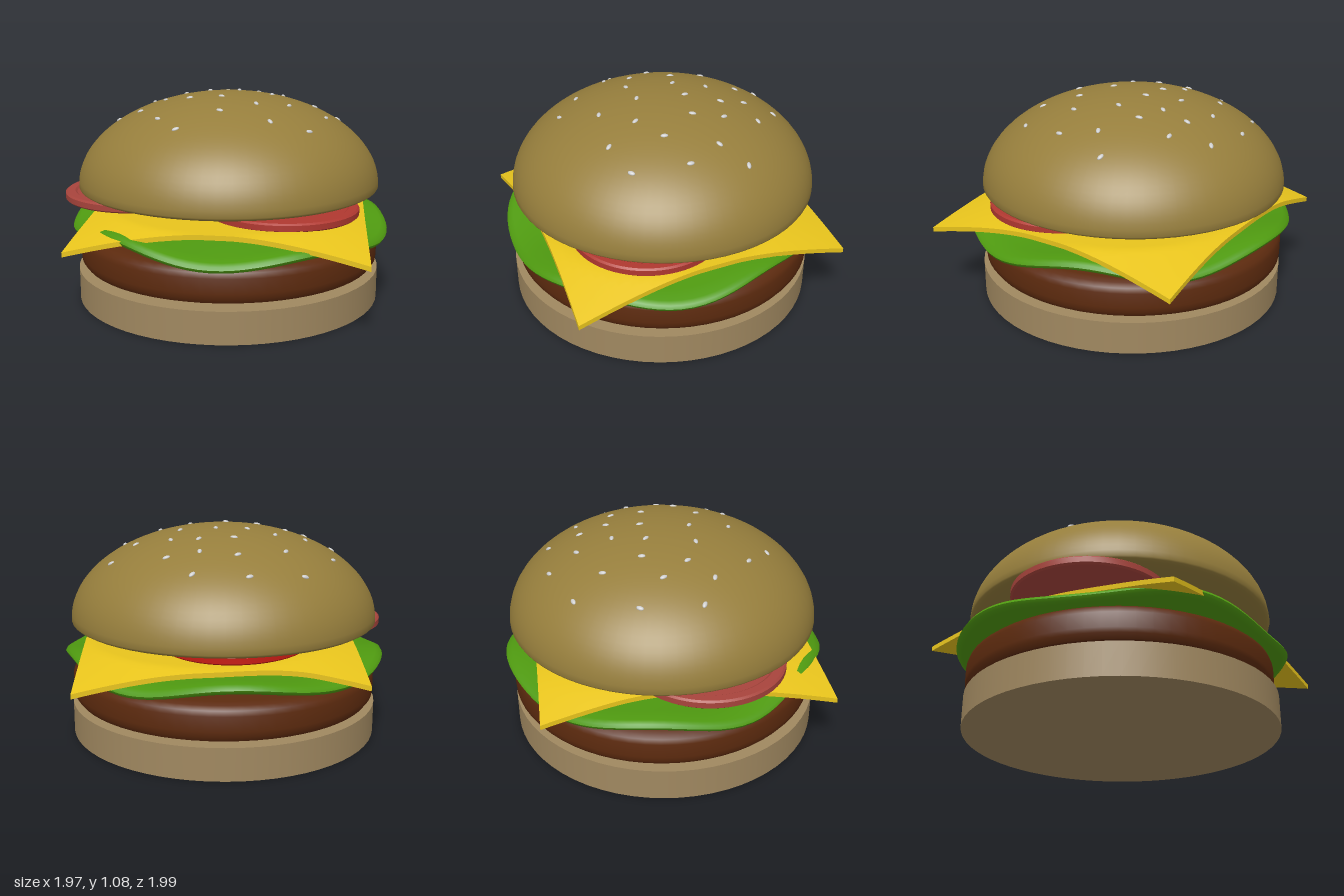
import * as THREE from 'three';
import { mergeVertices, toCreasedNormals } from 'three/addons/utils/BufferGeometryUtils.js';

const SIDES = 64;
const CZ = -0.055; // the round layers share this centre in z

function addMesh(parent, name, geometry, color) {
  const mesh = new THREE.Mesh(geometry, new THREE.MeshStandardMaterial({ color }));
  mesh.name = name;
  parent.add(mesh);
  return mesh;
}

// Solid of revolution; profile runs from the bottom centre outward and up to the top centre
function turned(profile, crease = 0.7) {
  const points = profile.map(([r, y]) => new THREE.Vector2(r, y));
  return toCreasedNormals(new THREE.LatheGeometry(points, SIDES), crease);
}

// Moves every vertex by a rule, then welds the surface and smooths it
function reshape(geometry, rule) {
  const pos = geometry.attributes.position;
  const v = new THREE.Vector3();
  for (let i = 0; i < pos.count; i++) {
    rule(v.fromBufferAttribute(pos, i));
    pos.setXYZ(i, v.x, v.y, v.z);
  }
  geometry.deleteAttribute('uv');
  geometry.deleteAttribute('normal');
  return toCreasedNormals(mergeVertices(geometry, 1e-4), 0.8);
}

// Lettuce: a thick disc whose rim ripples up and down
function lettuceGeometry() {
  const profile = [];
  const rings = 10;
  for (let i = 0; i <= rings; i++) profile.push(new THREE.Vector2(0.96 * i / rings, -0.024));
  profile.push(new THREE.Vector2(0.99, -0.015), new THREE.Vector2(1, 0), new THREE.Vector2(0.99, 0.015));
  for (let i = rings; i >= 0; i--) profile.push(new THREE.Vector2(0.96 * i / rings, 0.024));
  return reshape(new THREE.LatheGeometry(profile, 96), (v) => {
    const a = Math.atan2(v.z, v.x);
    const r = Math.hypot(v.x, v.z);
    const radius = 0.83 + 0.025 * Math.cos(2 * (a - 1.75)) + 0.008 * Math.sin(7 * a);
    v.y += 0.41 - r * r * (0.03 * Math.cos(5 * (a - 1.26)) + 0.012 * Math.sin(a) + 0.008 * Math.cos(3 * a));
    v.x *= radius;
    v.z *= radius;
  });
}

// Cheese: a square slice laid diagonally, with corners that droop past the filling
function cheeseGeometry() {
  const corners = [[-0.99, -0.21], [0.21, -1.0], [0.98, 0.14], [-0.17, 0.99]];
  return reshape(new THREE.BoxGeometry(1, 0.024, 1, 32, 1, 32), (v) => {
    const s = v.x + 0.5;
    const t = v.z + 0.5;
    const weights = [(1 - s) * (1 - t), s * (1 - t), s * t, (1 - s) * t];
    // edges pinch in slightly between the corners
    const pinch = 1 - 0.035 * Math.sin(Math.PI * s) * Math.pow(2 * t - 1, 2)
      - 0.035 * Math.sin(Math.PI * t) * Math.pow(2 * s - 1, 2);
    v.x = pinch * corners.reduce((sum, c, i) => sum + c[0] * weights[i], 0);
    v.z = pinch * corners.reduce((sum, c, i) => sum + c[1] * weights[i], 0);
    const r = Math.hypot(v.x, v.z);
    const back = THREE.MathUtils.smoothstep(-v.z, 0.35, 0.8);
    const droop = Math.max(0, r - 0.68);
    v.y += 0.485 + 0.045 * back - 0.33 * droop;
  });
}

export function createModel() {
  const model = new THREE.Group();
  model.name = 'burger';

  const bottomBun = addMesh(model, 'bottomBun', new THREE.CylinderGeometry(0.8, 0.8, 0.165, SIDES), 0xa08860);
  bottomBun.position.set(-0.01, 0.0825, -0.05);

  const patty = addMesh(model, 'patty', turned([
    [0, 0.18], [0.73, 0.18], [0.77, 0.19], [0.788, 0.215], [0.79, 0.24],
    [0.79, 0.315], [0.782, 0.34], [0.76, 0.358], [0.72, 0.365], [0, 0.365],
  ]), 0x5c2a0e);
  patty.position.z = CZ;

  addMesh(model, 'lettuce', lettuceGeometry(), 0x4f9a10).position.set(-0.01, 0, -0.045);
  addMesh(model, 'cheese', cheeseGeometry(), 0xe8c41c);

  // Tomato slices, each with a raised skin ring around the flesh
  const tomatoProfile = [
    [0, -0.022], [0.375, -0.022], [0.385, -0.014], [0.385, 0.014], [0.375, 0.022],
    [0.335, 0.022], [0.325, 0.015], [0, 0.015],
  ];
  const slices = [
    { at: [0, 0.512, 0.325], tilt: 0, color: 0xb03830 },
    { at: [-0.365, 0.552, -0.36], tilt: 0, color: 0xa8443c },
    { at: [0.195, 0.55, -0.255], tilt: -0.045, color: 0xc81c14 },
  ];
  slices.forEach(({ at, tilt, color }, i) => {
    const slice = addMesh(model, 'tomatoSlice' + (i + 1), turned(tomatoProfile, 0.5), color);
    slice.position.set(...at);
    slice.rotation.z = tilt;
  });

  // Top bun: half an ellipse over a rounded lower edge
  const R = 0.79, H = 0.475, BASE = 0.6;
  const dome = [[0, 0.58], [0.74, 0.58], [0.772, 0.584], [0.786, 0.592]];
  for (let i = 0; i <= 24; i++) {
    const a = (i / 24) * Math.PI / 2;
    dome.push([i === 24 ? 0 : R * Math.cos(a), BASE + H * Math.sin(a)]);
  }
  addMesh(model, 'topBun', turned(dome), 0x967e3c).position.z = CZ;

  // Sesame seeds lying on the dome, given as x, z
  const seeds = [
    [-0.13, -0.62], [0.2, -0.64], [-0.39, -0.48], [-0.17, -0.44], [0.12, -0.49], [0.42, -0.47],
    [-0.38, -0.32], [-0.23, -0.29], [-0.02, -0.35], [0.33, -0.35], [0.19, -0.24], [0.02, -0.21],
    [0.4, -0.18], [0.55, -0.24], [-0.21, -0.13], [-0.47, -0.09], [0.11, -0.08], [0.29, 0.1 - 0.2],
    [0.49, -0.05], [-0.12, 0.01], [0.33, 0.04], [0.18, 0.09], [-0.51, 0.08], [-0.28, 0.15],
    [-0.08, 0.21], [0.08, 0.29], [0.34, 0.25], [0.49, 0.29], [-0.17, 0.38], [0.23, 0.41], [-0.03, 0.51],
  ];
  const seedGroup = new THREE.Group();
  seedGroup.name = 'sesameSeeds';
  model.add(seedGroup);
  const seedGeometry = new THREE.SphereGeometry(1, 12, 8).scale(0.019, 0.008, 0.011);
  const up = new THREE.Vector3(0, 1, 0);
  seeds.forEach(([x, z], i) => {
    const dz = z - CZ;
    const h = H * Math.sqrt(1 - (x * x + dz * dz) / (R * R));
    const normal = new THREE.Vector3(x / (R * R), h / (H * H), dz / (R * R)).normalize();
    const seed = addMesh(seedGroup, 'sesameSeed', seedGeometry, 0xcccccc);
    seed.position.set(x, BASE + h, z);
    seed.quaternion.setFromUnitVectors(up, normal);
    seed.rotateY(i * 2.4);
  });

  return model;
}
